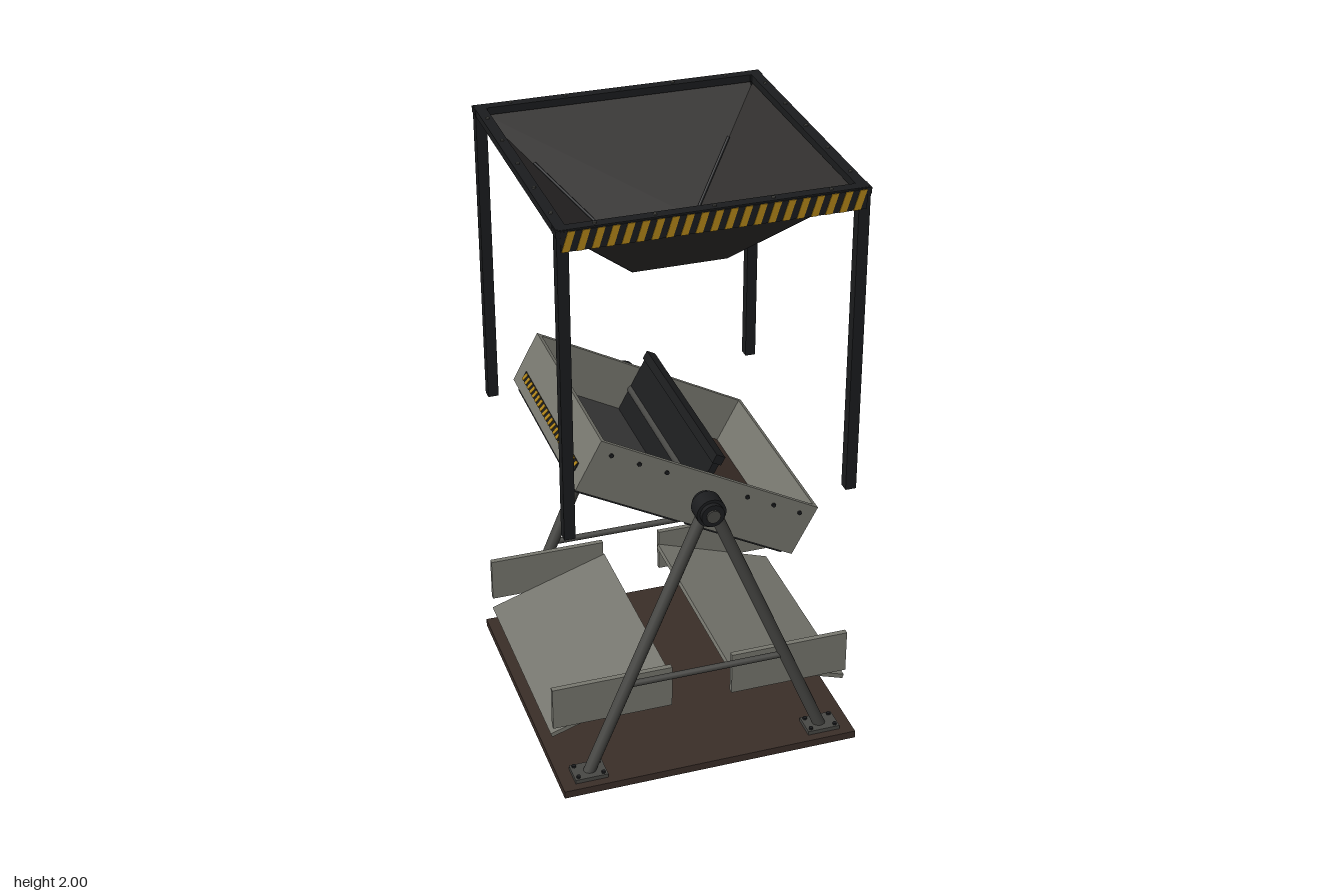
import * as THREE from 'three';

const mat = (color, extra = {}) => new THREE.MeshStandardMaterial({ color, ...extra });
const M = {
  black: mat(0x1b1c1e), steel: mat(0x484845), plate: mat(0x77776f),
  brown: mat(0x3a2e28), liner: mat(0x3a3a3a), yellow: mat(0xb08418),
  hopper: mat(0x302e2d, { side: THREE.DoubleSide, flatShading: true }),
};

function add(parent, name, geometry, material, x = 0, y = 0, z = 0) {
  const mesh = new THREE.Mesh(geometry, material);
  mesh.name = name;
  mesh.position.set(x, y, z);
  parent.add(mesh);
  return mesh;
}
const box = (parent, name, m, w, h, d, x, y, z) =>
  add(parent, name, new THREE.BoxGeometry(w, h, d), m, x, y, z);

// Round bar between two points
function bar(parent, name, m, a, b, r, sides = 16) {
  const p = new THREE.Vector3(...a), q = new THREE.Vector3(...b);
  const mesh = add(parent, name, new THREE.CylinderGeometry(r, r, p.distanceTo(q), sides), m);
  mesh.position.copy(p).add(q).multiplyScalar(0.5);
  mesh.quaternion.setFromUnitVectors(new THREE.Vector3(0, 1, 0), q.sub(p).normalize());
  return mesh;
}

// Warning strip facing +z: black backing with slanted yellow bars
function hazardStrip(parent, name, width, height, count) {
  const g = new THREE.Group();
  g.name = name;
  box(g, 'stripBacking', M.black, width, height, 0.004, 0, 0, 0);
  const pitch = width / count, w = pitch * 0.5, lean = pitch * 0.45, h = height / 2;
  const s = new THREE.Shape([
    new THREE.Vector2(-w / 2 - lean / 2, -h), new THREE.Vector2(w / 2 - lean / 2, -h),
    new THREE.Vector2(w / 2 + lean / 2, h), new THREE.Vector2(-w / 2 + lean / 2, h),
  ]);
  const geo = new THREE.ExtrudeGeometry(s, { depth: 0.002, bevelEnabled: false });
  for (let i = 0; i < count; i++)
    add(g, 'stripe', geo, M.yellow, -width / 2 + pitch * (i + 0.5), 0, 0.002);
  parent.add(g);
  return g;
}

function buildBase(root) {
  const g = new THREE.Group();
  g.name = 'base';
  box(g, 'basePlate', M.brown, 1, 0.026, 1, 0, 0.018, 0);
  for (const x of [-0.4, 0.4]) for (const z of [-0.432, 0.432]) {
    box(g, 'footPlate', M.steel, 0.11, 0.014, 0.08, x, 0.038, z);
    for (const dx of [-0.042, 0.042]) for (const dz of [-0.028, 0.028])
      bar(g, 'footBolt', M.black, [x + dx, 0, z + dz], [x + dx, 0.052, z + dz], 0.007, 6);
  }
  root.add(g);
}

function buildSupports(root) {
  for (const s of [-1, 1]) {
    const g = new THREE.Group(), z = 0.432 * s;
    g.name = 'supportFrame';
    for (const x of [-1, 1])
      bar(g, 'supportLeg', M.steel, [0.4 * x, 0.035, z], [0.012 * x, 0.965, z], 0.02);
    bar(g, 'crossBar', M.steel, [-0.26, 0.355, z], [0.26, 0.355, z], 0.011);
    // Pivot bearing: housing, collar and end cap
    bar(g, 'bearing', M.black, [0, 0.965, 0.385 * s], [0, 0.965, 0.478 * s], 0.038, 24);
    bar(g, 'bearingCollar', M.black, [0, 0.965, 0.405 * s], [0, 0.965, 0.462 * s], 0.048, 24);
    bar(g, 'bearingCap', M.steel, [0, 0.965, 0.47 * s], [0, 0.965, 0.484 * s], 0.022, 16);
    root.add(g);
  }
  bar(root, 'axle', M.steel, [0, 0.965, -0.44], [0, 0.965, 0.44], 0.016);
}

function buildTray(root) {
  const g = new THREE.Group();
  g.name = 'tippingTray';
  g.position.set(0, 0.965, 0);
  g.rotation.z = -0.49;
  const T = 0.014, yc = -0.01, H = 0.18;
  box(g, 'trayFloor', M.plate, 0.8, T, 0.72, 0, -0.093, 0);
  for (const s of [-1, 1]) {
    box(g, 'traySide', M.plate, 0.806, H, T, 0, yc, 0.353 * s);
    box(g, 'trayEnd', M.plate, T, H, 0.7, 0.396 * s, yc, 0);
    box(g, 'floorLiner', s < 0 ? M.liner : M.brown, 0.375, 0.006, 0.69, 0.2 * s, -0.083, 0);
    // Underside wear plate, ribs and bump stops
    box(g, 'wearPlate', M.black, 0.37, 0.018, 0.66, 0.2 * s, -0.109, 0);
    box(g, 'underRib', M.black, 0.74, 0.022, 0.035, 0, -0.112, 0.2 * s);
    for (const x of [-0.35, 0.35])
      bar(g, 'bumpStop', M.black, [x, -0.1, 0.2 * s], [x, -0.13, 0.2 * s], 0.013, 12);
    for (const x of [-0.35, -0.25, -0.15, 0.15, 0.25, 0.35])
      bar(g, 'trayBolt', M.black, [x, 0.045, 0.355 * s], [x, 0.045, 0.366 * s], 0.007, 8);
    const strip = hazardStrip(g, 'trayHazardStrip', 0.6, 0.028, 20);
    strip.position.set(0.404 * s, -0.05, 0);
    strip.rotation.y = s * Math.PI / 2;
  }
  // Central divider with a thicker top edge
  box(g, 'divider', M.black, 0.022, 0.22, 0.69, 0, 0.025, 0);
  box(g, 'dividerCap', M.black, 0.032, 0.03, 0.7, 0, 0.13, 0);
  root.add(g);
}

function buildChutes(root) {
  for (const s of [-1, 1]) {
    const g = new THREE.Group();
    g.name = 'outletChute';
    const slope = box(g, 'chuteFloor', M.plate, 0.43, 0.015, 0.74, 0.3 * s, 0.232, 0);
    slope.rotation.z = -0.325 * s;
    for (const z of [-0.381, 0.381])
      box(g, 'chuteSide', M.plate, 0.4, 0.15, 0.018, 0.302 * s, 0.28, z);
    root.add(g);
  }
}

function buildHopper(root) {
  const g = new THREE.Group();
  g.name = 'hopper';
  const top = 0.455, low = 0.151, yTop = 1.978, yLow = 1.664, h = yTop - yLow;
  const funnel = new THREE.CylinderGeometry(top * Math.SQRT2, low * Math.SQRT2, h, 4, 1, true);
  funnel.rotateY(Math.PI / 4);
  add(g, 'funnel', funnel, M.hopper, 0, (yTop + yLow) / 2, 0);
  for (const x of [-1, 1]) for (const z of [-1, 1]) {
    box(g, 'post', M.black, 0.035, 1.025, 0.035, 0.454 * x, 1.4825, 0.454 * z);
    box(g, 'cornerCap', M.black, 0.042, 0.02, 0.042, 0.453 * x, 1.985, 0.453 * z);
    // Weld bead along the lower part of each inside corner
    bar(g, 'cornerWeld', M.black, [low * x, yLow + 0.006, low * z],
      [0.32 * x, yLow + 0.006 + h * (0.32 - low) / (top - low), 0.32 * z], 0.005, 8);
  }
  for (const s of [-1, 1]) {
    box(g, 'rimRail', M.black, 0.93, 0.024, 0.034, 0, 1.984, 0.454 * s);
    box(g, 'rimRail', M.black, 0.034, 0.024, 0.93, 0.454 * s, 1.984, 0);
    for (let i = -2; i <= 2; i++) {
      const t = i * 0.1775;
      bar(g, 'rimBolt', M.steel, [t, 1.99, 0.454 * s], [t, 2, 0.454 * s], 0.006, 8);
      bar(g, 'rimBolt', M.steel, [0.454 * s, 1.99, t], [0.454 * s, 2, t], 0.006, 8);
    }
  }
  hazardStrip(g, 'rimHazardStrip', 0.92, 0.062, 21).position.set(0, 1.96, 0.473);
  root.add(g);
}

export function createModel() {
  const root = new THREE.Group();
  root.name = 'tippingSorter';
  buildBase(root);
  buildSupports(root);
  buildTray(root);
  buildChutes(root);
  buildHopper(root);
  return root;
}
